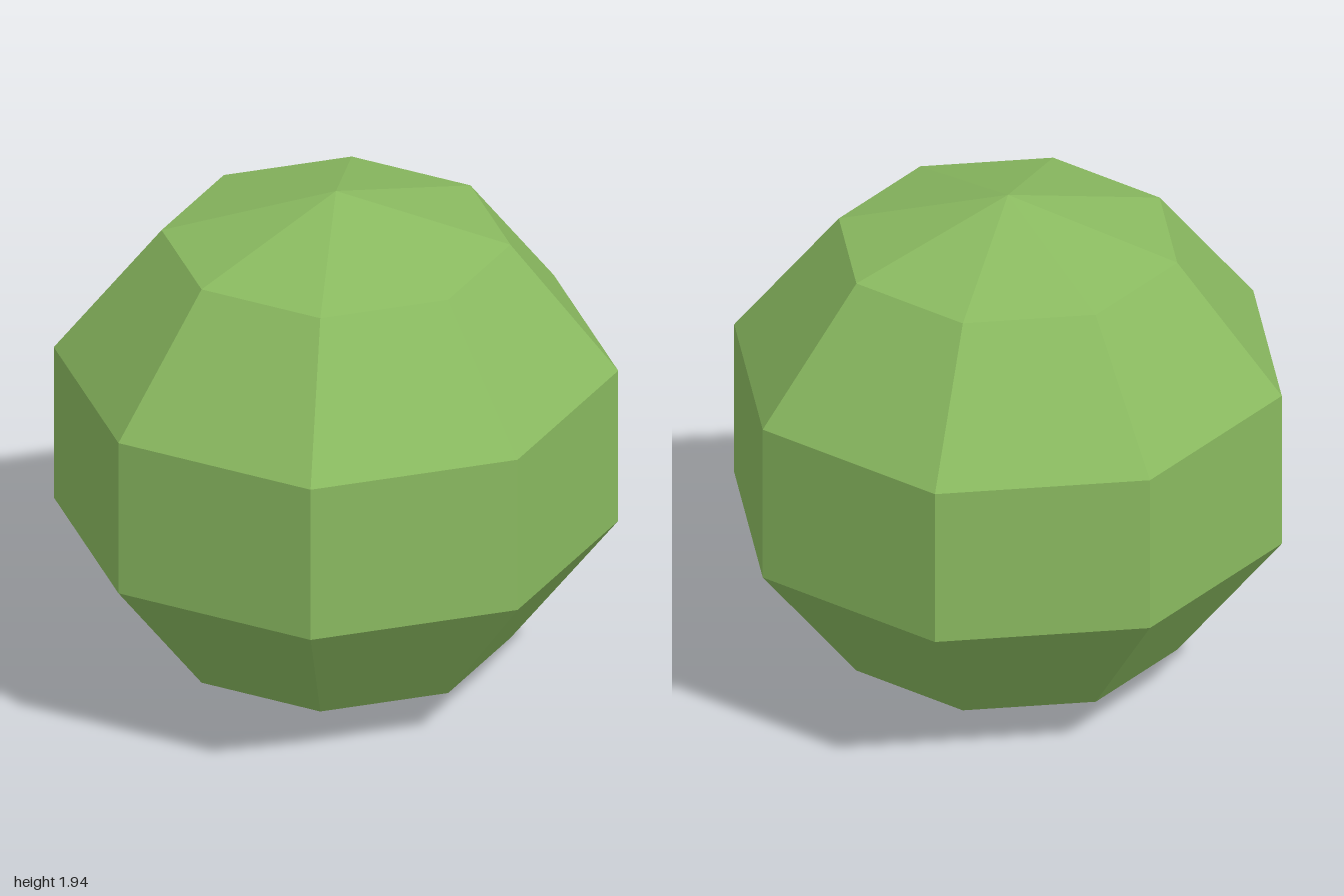
import * as THREE from 'three';

export function createModel() {
  const group = new THREE.Group();
  group.name = 'bush';

  // Eight-sided, five-band ball whose widest rings have radius 1, slightly squashed
  const radius = 1 / Math.sin((2 * Math.PI) / 5);
  const halfHeight = 0.968;
  const geometry = new THREE.SphereGeometry(radius, 8, 5);
  geometry.scale(1, halfHeight / radius, 1);
  geometry.translate(0, halfHeight, 0);

  const foliage = new THREE.Mesh(
    geometry,
    new THREE.MeshStandardMaterial({ color: 0x8aba60, flatShading: true })
  );
  foliage.name = 'foliage';
  group.add(foliage);
  return group;
}
